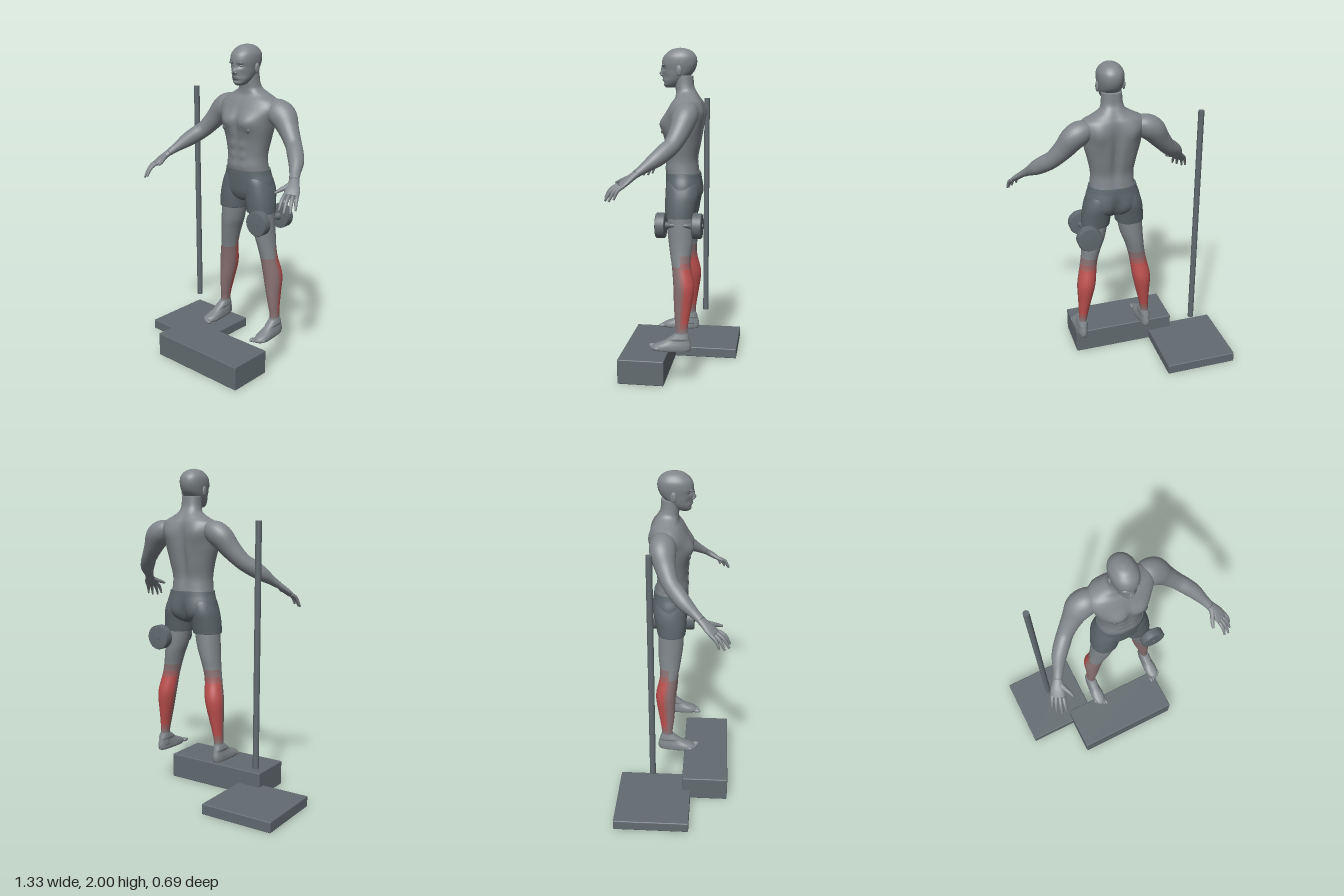
import * as THREE from 'three';
import { RoundedBoxGeometry } from 'three/addons/geometries/RoundedBoxGeometry.js';

const mat = (name, color) => Object.assign(new THREE.MeshStandardMaterial({ color }), { name });
const skin = mat('skin', 0x80868a);
const cloth = mat('shorts', 0x5c666b);
const metal = mat('equipment', 0x626b70);
const tint = mat('calfTint', 0x8a7173);
const blend = mat('calfBlend', 0xa06160);
const red = mat('calfRed', 0xbc504e);
const shade = mat('shade', 0x666b6f);

const bump = (a, b = 0) => Math.exp(-a * a - b * b);
const V = (x, y, z) => new THREE.Vector3(x, y, z);

// Smoothly interpolate rows of numbers along t = 0..1
function sample(rows, t) {
  const f = t * (rows.length - 1), i = Math.min(Math.floor(f), rows.length - 2), u = f - i;
  const at = k => rows[Math.max(0, Math.min(rows.length - 1, k))];
  return rows[0].map((_, k) => {
    const [a, b, c, d] = [at(i - 1)[k], at(i)[k], at(i + 1)[k], at(i + 2)[k]];
    return b + 0.5 * u * (c - a + u * (2 * a - 5 * b + 4 * c - d + u * (3 * (b - c) + d - a)));
  });
}

// Close a stack of rings into a smooth skin; pick(y, angle) chooses a material index
function stitch(rings, pick = () => 0) {
  const seg = rings[0].length;
  const centre = r => r.reduce((s, p) => s.add(p), V(0, 0, 0)).divideScalar(seg);
  const all = [rings[0].map(() => centre(rings[0])), ...rings, rings[0].map(() => centre(rings.at(-1)))];
  const lists = [];
  for (let i = 0; i < all.length - 1; i++) for (let j = 0; j < seg; j++) {
    const a = i * seg + j, b = i * seg + (j + 1) % seg;
    const m = pick((all[i][j].y + all[i + 1][j].y) / 2, ((j + 0.5) / seg) * Math.PI * 2);
    (lists[m] ??= []).push(a, b, b + seg, a, b + seg, a + seg);
  }
  const geo = new THREE.BufferGeometry().setFromPoints(all.flat());
  geo.setIndex(lists.flat());
  let start = 0;
  lists.forEach((l, m) => { geo.addGroup(start, l.length, m); start += l.length; });
  geo.computeVertexNormals();
  return geo;
}

// Level rings; rows are [y, x, halfWidth, zFront, zBack]
function stack(rows, { n = 40, seg = 40, power = 1, warp = () => {}, pick } = {}) {
  const pw = v => Math.sign(v) * Math.abs(v) ** power;
  const rings = Array.from({ length: n + 1 }, (_, i) => {
    const [y, x, w, f, b] = sample(rows, i / n);
    return Array.from({ length: seg }, (_, j) => {
      const a = (j / seg) * Math.PI * 2;
      const p = V(x + pw(Math.sin(a)) * w, y, (f + b) / 2 + pw(Math.cos(a)) * (f - b) / 2);
      warp(p, a);
      return p;
    });
  });
  return stitch(rings, pick);
}

// Rings square to a path; rows are [x, y, z, radiusAcross, radiusThick]
function limb(rows, s, n = 24, seg = 20) {
  const rings = Array.from({ length: n + 1 }, (_, i) => {
    const t = i / n, c = sample(rows, t);
    const p = sample(rows, Math.max(0, t - 0.01)), q = sample(rows, Math.min(1, t + 0.01));
    const dir = V((q[0] - p[0]) * s, q[1] - p[1], q[2] - p[2]).normalize();
    const u = V(0.75 * s, 0.1, -0.65);
    u.addScaledVector(dir, -u.dot(dir)).normalize();
    const v = u.clone().cross(dir);
    return Array.from({ length: seg }, (_, j) => {
      const a = (j / seg) * Math.PI * 2;
      return V(c[0] * s, c[1], c[2]).addScaledVector(u, Math.sin(a) * c[3]).addScaledVector(v, Math.cos(a) * c[4]);
    });
  });
  return stitch(rings);
}

function add(parent, name, geo, material, x = 0, y = 0, z = 0) {
  const m = new THREE.Mesh(geo, material);
  m.name = name;
  m.position.set(x, y, z);
  parent.add(m);
  return m;
}
const blob = (parent, name, material, x, y, z, rx, ry, rz) =>
  add(parent, name, new THREE.SphereGeometry(1, 16, 12), material, x, y, z).scale.set(rx, ry, rz);

function makeTorso(body) {
  const rows = [[1.24, 0, .138, .062, -.132], [1.3, 0, .131, .07, -.124], [1.36, 0, .13, .066, -.12], [1.44, 0, .145, .072, -.135],
    [1.52, 0, .165, .083, -.148], [1.58, 0, .178, .085, -.152], [1.64, 0, .2, .06, -.152], [1.685, 0, .18, .035, -.145],
    [1.715, 0, .125, .015, -.13], [1.745, 0, .075, .012, -.113], [1.78, 0, .062, .015, -.096], [1.84, 0, .058, .02, -.09]];
  const warp = (p, a) => {
    const x = Math.abs(p.x), y = p.y;
    if (Math.cos(a) > 0) {
      p.z += .02 * bump((x - .075) / .055, (y - 1.56) / .05);              // chest muscles
      p.z -= .012 * bump(x / .014, (y - 1.55) / .09);                      // breastbone
      p.z += .007 * bump((x - .035) / .025, (y - 1.38) / .1) * (0.6 + 0.4 * Math.cos((y - 1.36) * 95)); // abdomen
    } else {
      p.z -= .018 * bump((x - .1) / .05, (y - 1.62) / .07);                // shoulder blades
      p.z += .022 * bump(x / .025, (y - 1.5) / .17);                       // spine groove
    }
  };
  add(body, 'torso', stack(rows, { n: 72, seg: 72, power: .88, warp }), skin);
  blob(body, 'navel', shade, 0, 1.3, .066, .009, .009, .004);
  for (const s of [-1, 1]) blob(body, 'areola', shade, s * .09, 1.522, .081, .014, .014, .007);
}

function makeHead(body) {
  const head = new THREE.Group();
  head.name = 'head';
  body.add(head);
  const rows = [[1.772, 0, .02, .07, .02], [1.785, 0, .038, .083, -.01], [1.81, 0, .054, .086, -.04], [1.84, 0, .064, .089, -.072],
    [1.87, 0, .07, .091, -.097], [1.91, 0, .076, .096, -.111], [1.95, 0, .073, .085, -.107], [1.98, 0, .053, .054, -.082],
    [1.994, 0, .03, .028, -.052], [2, 0, .003, -.01, -.016]];
  const warp = (p, a) => {
    if (Math.cos(a) < 0) return;
    const x = Math.abs(p.x);
    p.z -= .014 * bump((x - .031) / .017, (p.y - 1.885) / .013);           // eye sockets
    p.z -= .006 * bump((x - .045) / .015, (p.y - 1.835) / .02);            // cheeks
    p.z += .02 * bump(x / .012, (p.y - 1.853) / .016) + .008 * bump(x / .01, (p.y - 1.88) / .015); // nose
    p.z += .005 * bump(x / .024, (p.y - 1.815) / .008) - .005 * bump(x / .03, (p.y - 1.8) / .006); // mouth
  };
  add(head, 'skull', stack(rows, { n: 80, seg: 72, power: .92, warp }), skin);
  blob(head, 'lips', shade, 0, 1.818, .086, .02, .004, .007);
  for (const s of [-1, 1]) {
    blob(head, 'eye', skin, s * .031, 1.885, .068, .012, .008, .01);
    blob(head, 'brow', skin, s * .031, 1.901, .08, .02, .006, .011);
    blob(head, 'nostril', skin, s * .011, 1.846, .094, .008, .007, .01);
    blob(head, 'ear', skin, s * .077, 1.868, -.015, .009, .031, .018);
  }
}

function makeArm(body, s) {
  const arm = new THREE.Group();
  arm.name = s > 0 ? 'leftArm' : 'rightArm';
  body.add(arm);
  add(arm, 'armAndForearm', limb([[.13, 1.645, -.065, .055, .045], [.185, 1.63, -.068, .075, .068], [.235, 1.598, -.066, .078, .07],
    [.285, 1.535, -.05, .06, .06], [.345, 1.465, -.018, .048, .05], [.39, 1.425, .022, .047, .049], [.43, 1.388, .065, .043, .043],
    [.465, 1.347, .12, .031, .028], [.49, 1.318, .16, .027, .021]], s, 48, 28), skin);
  add(arm, 'palm', limb([[.485, 1.325, .15, .026, .02], [.502, 1.302, .18, .033, .019], [.518, 1.278, .21, .042, .018],
    [.531, 1.255, .238, .041, .014]], s), skin);
  const tips = [[.582, 1.19, .262], [.57, 1.178, .292], [.546, 1.178, .318], [.517, 1.19, .322]];
  tips.forEach(([x, y, z], i) => {
    const k = 1.5 - i, b = [.528 + k * .016, 1.262, .232 - k * .015];
    const mid = [(b[0] + x) / 2 + .003, (b[1] + y) / 2 + .01, (b[2] + z) / 2 + .007];
    add(arm, 'finger', limb([[...b, .011, .011], [...mid, .0105, .0105], [x, y, z, .006, .006]], s, 8, 10), skin);
  });
  add(arm, 'thumb', limb([[.494, 1.306, .18, .018, .015], [.476, 1.288, .222, .014, .013], [.462, 1.277, .25, .011, .011],
    [.453, 1.266, .278, .006, .006]], s, 10, 12), skin);
}

function makeLeg(body, s) {
  const leg = new THREE.Group();
  leg.name = s > 0 ? 'leftLeg' : 'rightLeg';
  body.add(leg);
  const at = r => [r[0], r[1] * s, ...r.slice(2)];
  const rows = [[.26, .21, .031, .005, -.098], [.345, .207, .026, -.015, -.085], [.42, .2, .032, -.008, -.093], [.495, .192, .042, -.002, -.106],
    [.615, .18, .057, .003, -.121], [.73, .162, .053, .014, -.098], [.8, .149, .054, .026, -.098], [.865, .136, .06, .036, -.105],
    [.94, .12, .071, .046, -.107], [1.06, .104, .08, .05, -.105]].map(at);
  // Calf colours: strong at the back, pale at the front, fading above and below
  const pick = (y, a) => {
    const c = Math.cos(a);
    if (y < .34 || y > (c > 0 ? .73 : .8)) return 0;
    if (c > .15) return 1;
    if (y > .755 || y < .365) return 1;
    return c > -.2 || y > .72 || y < .4 ? 2 : 3;
  };
  add(leg, 'thighAndCalf', stack(rows, { n: 64, pick }), [skin, tint, blend, red]);

  const foot = [[.23, .212, .041, .125, -.1], [.242, .212, .045, .135, -.106], [.262, .212, .044, .115, -.107], [.285, .211, .038, .06, -.102],
    [.31, .21, .032, .022, -.095], [.335, .208, .027, -.01, -.087]].map(at);
  const warp = p => {
    if (p.y < .3) p.x = .211 * s + (p.x - .211 * s) * (p.z < -.02 ? .78 : .78 + Math.min(.24, (p.z + .02) * 2.4));
  };
  add(leg, 'foot', stack(foot, { n: 20, power: .8, warp }), skin);
  for (let i = 0; i < 5; i++)
    blob(leg, 'toe', skin, s * (.18 + i * .0165), .243, .132 - i * i * .0022, i ? .009 : .012, .012, i ? .019 : .023);

  // Shorts leg
  add(leg, 'shortsLeg', stack([[1.02, .107, .086, .058, -.112], [1.03, .106, .087, .06, -.114], [1.09, .1, .088, .063, -.125], [1.15, .092, .086, .062, -.136],
    [1.21, .078, .08, .06, -.13], [1.25, .07, .06, .05, -.11]].map(at), { n: 24, power: .92 }), cloth);
}

function makeDumbbell(root) {
  const bell = new THREE.Group();
  bell.name = 'dumbbell';
  bell.position.set(.25, .98, -.03);
  bell.rotation.x = Math.PI / 2;
  root.add(bell);
  add(bell, 'handle', new THREE.CylinderGeometry(.012, .012, .28, 20), metal);
  for (const s of [-1, 1]) {
    const r = .075, e = .006, h = .028;
    const profile = [[0, -h], [r - e, -h], [r, e - h], [r, h - e], [r - e, h], [0, h]].map(p => new THREE.Vector2(...p));
    add(bell, 'weight', new THREE.LatheGeometry(profile, 40), metal, 0, s * .107, 0);
    add(bell, 'collar', new THREE.CylinderGeometry(s > 0 ? .024 : .014, s > 0 ? .014 : .024, .03, 20), metal, 0, s * .066, 0);
  }
}

export function createModel() {
  const root = new THREE.Group();
  root.name = 'calfRaiseExercise';

  const body = new THREE.Group();
  body.name = 'athlete';
  body.position.x = .077;
  root.add(body);
  makeTorso(body);
  makeHead(body);
  for (const s of [-1, 1]) { makeArm(body, s); makeLeg(body, s); }

  // Hips of the shorts, with the seat rounded on each side
  const seat = (p, a) => {
    if (Math.cos(a) < 0) p.z += -.012 * bump((Math.abs(p.x) - .07) / .05, (p.y - 1.15) / .06) + .02 * bump(p.x / .018, (p.y - 1.14) / .07);
  };
  add(body, 'shortsHips', stack([[1.08, 0, .04, .03, -.08], [1.1, 0, .11, .05, -.115], [1.14, 0, .168, .064, -.136], [1.2, 0, .165, .069, -.143],
    [1.25, 0, .149, .071, -.139], [1.275, 0, .143, .071, -.136]], { n: 40, seg: 56, power: .9, warp: seat }), cloth);

  makeDumbbell(root);
  add(root, 'stepBlock', new RoundedBoxGeometry(.665, .155, .285, 2, .006), metal, -.0275, .0775, .2);
  add(root, 'basePlate', new RoundedBoxGeometry(.46, .065, .455, 2, .006), metal, -.435, .0325, -.1175);
  add(root, 'pole', new THREE.CylinderGeometry(.018, .018, 1.44, 24), metal, -.435, .98, -.118);
  return root;
}
